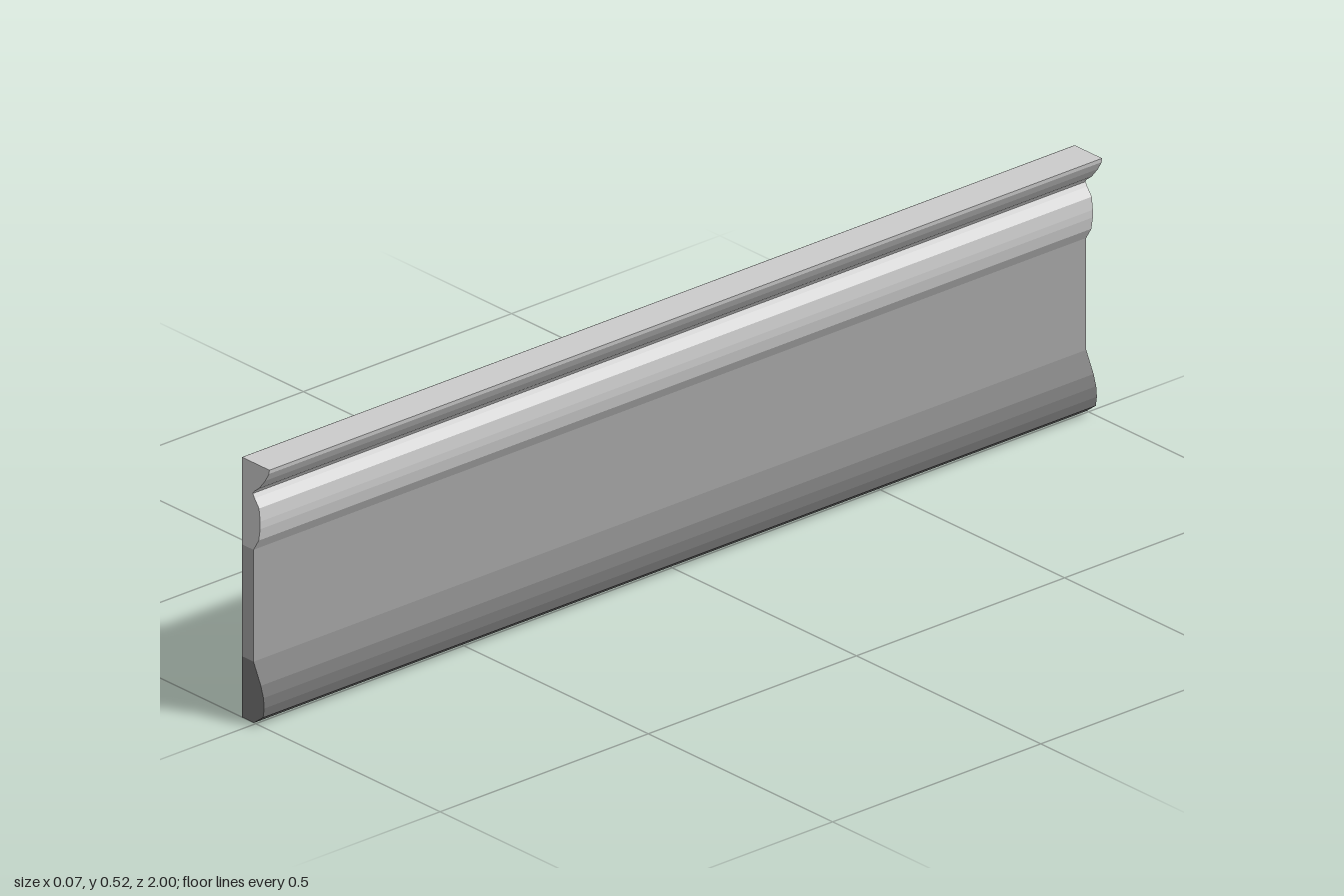
import * as THREE from 'three';

const BACK = -0.037, LENGTH = 2, HEIGHT = 0.516;

// Front edge of each strip as [x, y], from bottom to top
const strips = [
  { name: 'baseMoulding', color: 0x747474, edge: [
    [-0.005, 0], [0.02, 0.019], [0.023, 0.038], [0.021, 0.058], [0.014, 0.08], [-0.006, 0.121]] },
  { name: 'flatPanel', color: 0xa4a4a4, edge: [[-0.006, 0.121], [-0.006, 0.343]] },
  { name: 'topMoulding', color: 0xcccccc, edge: [
    [-0.006, 0.343], [0.008, 0.366], [0.012, 0.39], [0.012, 0.405], [0.009, 0.43], // rounded bead
    [-0.003, 0.446], [-0.008, 0.454], [-0.005, 0.459], // groove
    [0.009, 0.47], [0.026, 0.491], [0.036, 0.508], [0.037, HEIGHT]] }, // flared lip
];

// Close the profile along the flat back and run it the full length
function makeStrip({ name, color, edge }) {
  const bottom = edge[0][1], top = edge[edge.length - 1][1];
  const points = [[BACK, bottom], ...edge, [BACK, top]];
  const shape = new THREE.Shape(points.map(([x, y]) => new THREE.Vector2(x, y)));
  const geometry = new THREE.ExtrudeGeometry(shape, { depth: LENGTH, bevelEnabled: false });
  geometry.translate(0, 0, -LENGTH / 2);
  const mesh = new THREE.Mesh(geometry, new THREE.MeshStandardMaterial({ color, flatShading: true }));
  mesh.name = name;
  return mesh;
}

export function createModel() {
  const model = new THREE.Group();
  model.name = 'wallMoulding';
  strips.forEach((strip) => model.add(makeStrip(strip)));

  // Plain facing over the back of all three strips
  const back = new THREE.Mesh(
    new THREE.PlaneGeometry(LENGTH, HEIGHT),
    new THREE.MeshStandardMaterial({ color: 0xcccccc, side: THREE.DoubleSide }));
  back.name = 'backFace';
  back.rotation.y = -Math.PI / 2;
  back.position.set(BACK - 0.0005, HEIGHT / 2, 0);
  model.add(back);
  return model;
}
